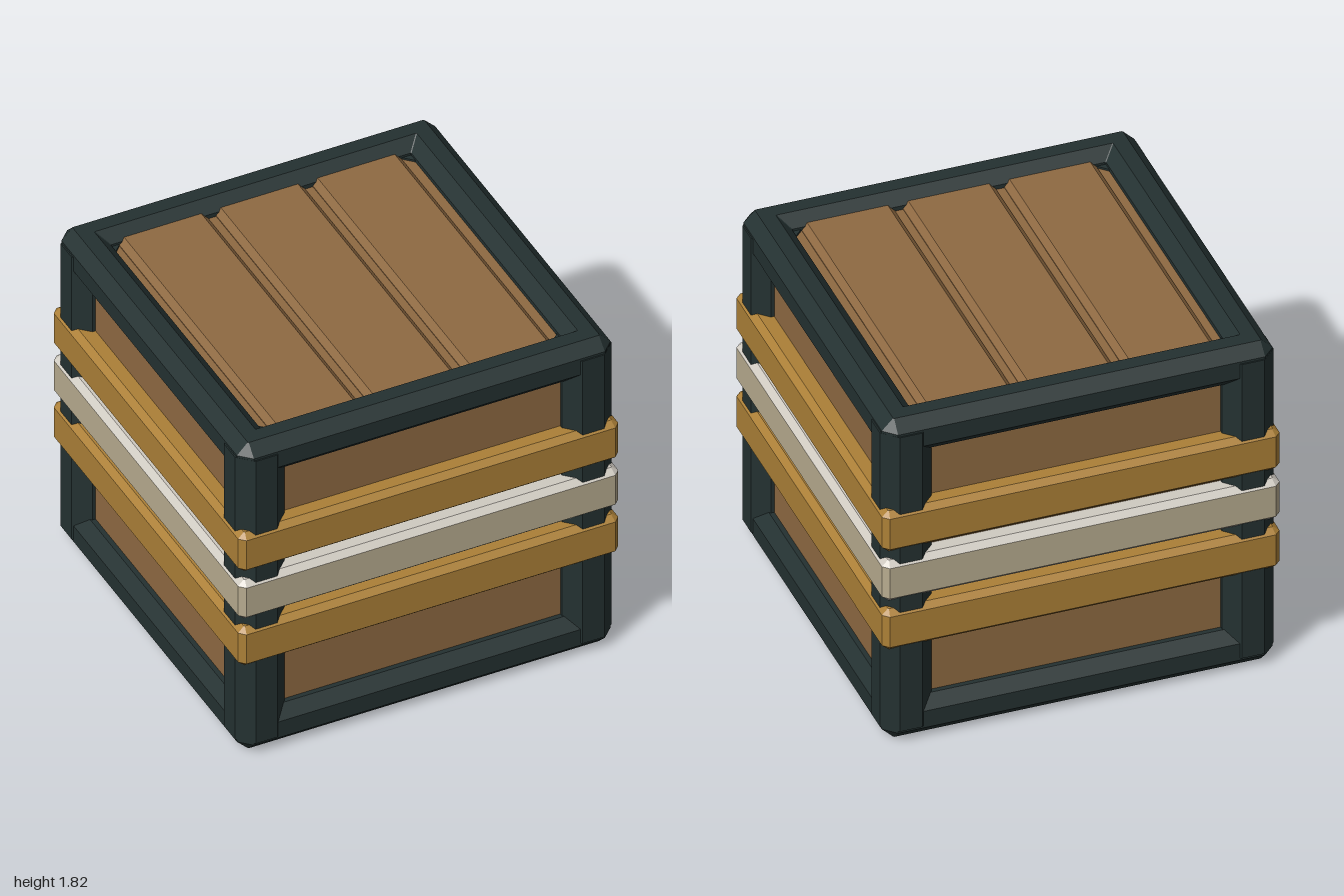
import * as THREE from 'three';

const mat = (name, color, flat = true) => {
  const m = new THREE.MeshStandardMaterial({ color });
  m.name = name;
  m.flatShading = flat;
  return m;
};

// Square hoop: sweeps a [radius, y] profile around a square whose outer corners are cut.
// Each profile edge gets the material index given in slots.
function squareRing(profile, cut, slots) {
  const outer = Math.max(...profile.map(p => p[0]));
  const point = (i, [r, y]) => {
    const c = Math.max(0.004, r - (outer - cut));
    const side = Math.floor(i / 2) % 4;
    const [x, z] = i % 2 ? [r, r - c] : [r, -(r - c)];
    const a = side * Math.PI / 2;
    return [x * Math.cos(a) - z * Math.sin(a), y, x * Math.sin(a) + z * Math.cos(a)];
  };
  const pos = [];
  const geo = new THREE.BufferGeometry();
  profile.forEach((p, j) => {
    const q = profile[(j + 1) % profile.length];
    geo.addGroup(pos.length / 3, 48, slots ? slots[j] : 0);
    for (let i = 0; i < 8; i++) {
      const a = point(i, p), b = point(i, q), c = point(i + 1, q), d = point(i + 1, p);
      pos.push(...a, ...b, ...d, ...b, ...c, ...d);
    }
  });
  geo.setAttribute('position', new THREE.Float32BufferAttribute(pos, 3));
  geo.computeVertexNormals();
  return geo;
}

// Rectangular section with all four long edges chamfered
const section = (r0, r1, y0, y1, c) => [
  [r1, y0 + c], [r1, y1 - c], [r1 - c, y1], [r0 + c, y1],
  [r0, y1 - c], [r0, y0 + c], [r0 + c, y0], [r1 - c, y0],
];

const prism = (points, depth) => new THREE.ExtrudeGeometry(
  new THREE.Shape(points.map(p => new THREE.Vector2(...p))), { depth, bevelEnabled: false });

export function createModel() {
  const model = new THREE.Group();
  model.name = 'crate';
  const wood = mat('wood brown', 0x8f6a42);
  const iron = mat('dark frame', 0x243131);
  const gold = mat('gold band', 0xac8037);
  const beige = mat('beige band face', 0xb8ac90);
  const silver = mat('pale band edge', 0xd0cbc2);

  const add = (name, geo, material, x = 0, y = 0, z = 0) => {
    const mesh = new THREE.Mesh(geo, material);
    mesh.name = name;
    mesh.position.set(x, y, z);
    model.add(mesh);
    return mesh;
  };

  // Wooden body, recessed behind the frame
  add('body', new THREE.BoxGeometry(1.8, 1.69, 1.8), wood, 0, 0.895, 0);

  // Three chamfered lid planks running front to back
  const plank = prism([[-0.233, 0], [0.233, 0], [0.233, 0.01], [0.203, 0.04], [-0.203, 0.04], [-0.233, 0.01]], 1.6);
  [-0.512, -0.003, 0.506].forEach((x, i) => add('lidPlank' + (i + 1), plank, wood, x, 1.735, -0.8));

  // Top and bottom frame rails
  add('bottomRail', squareRing(section(0.79, 0.983, 0, 0.21, 0.058), 0.06), [iron]);
  add('topRail', squareRing(section(0.79, 0.983, 1.61, 1.82, 0.058), 0.06), [iron]);

  // Chamfered corner posts
  const post = prism(section(-0.13, 0.13, -0.13, 0.13, 0.073), 1.68);
  post.rotateX(-Math.PI / 2);
  for (const [sx, nx] of [[1, 'Left'], [-1, 'Right']])
    for (const [sz, nz] of [[1, 'front'], [-1, 'back']])
      add(nz + nx + 'Post', post, iron, sx * 0.86, 0.07, sz * 0.86);

  // Three hoops around the crate; the middle one has paler edges
  const band = (name, y0, materials) => {
    const h = 0.23;
    const profile = [[1, y0 + 0.03], [1, y0 + h - 0.027], [0.967, y0 + h], [0.88, y0 + h], [0.88, y0], [0.967, y0]];
    add(name, squareRing(profile, 0.03, [0, 1, 1, 1, 1, 1]), materials);
  };
  band('lowerBand', 0.54, [gold, gold]);
  band('middleBand', 0.818, [beige, silver]);
  band('upperBand', 1.1, [gold, gold]);

  return model;
}
